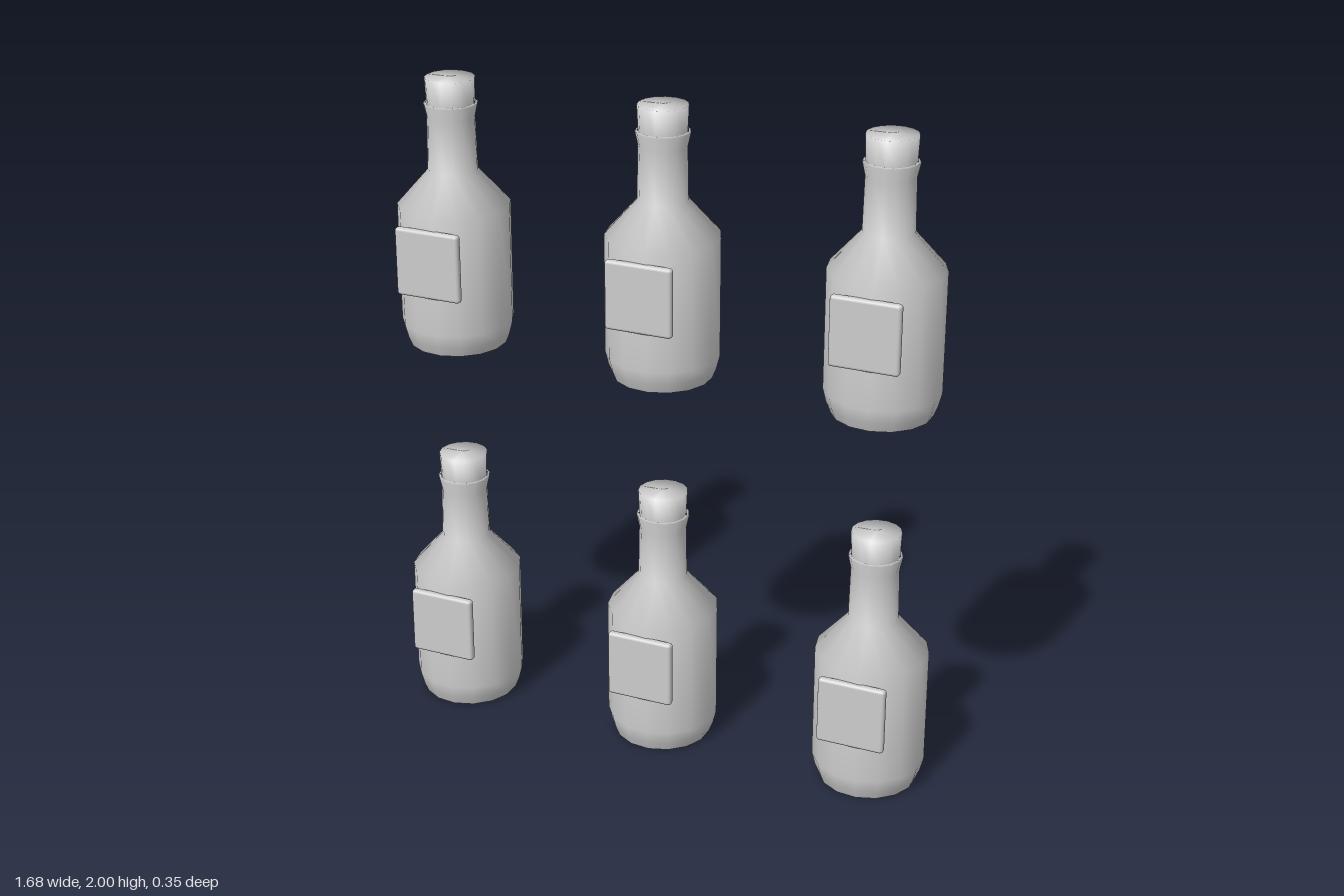
import * as THREE from 'three';
import { RoundedBoxGeometry } from 'three/addons/geometries/RoundedBoxGeometry.js';

const SIDES = 15;
const AXIS_Z = -0.007;

// Turned part with a corner on the -x side
function turned(name, profile, material) {
  const points = profile.map(([r, y]) => new THREE.Vector2(r, y));
  const mesh = new THREE.Mesh(new THREE.LatheGeometry(points, SIDES, -Math.PI / 2), material);
  mesh.name = name;
  mesh.position.z = AXIS_Z;
  return mesh;
}

function createBottle(material) {
  const bottle = new THREE.Group();
  bottle.name = 'bottle';

  // Flat underside
  bottle.add(turned('base', [[0, 0], [0.146, 0]], material));

  // Body, shoulder, neck and flared lip
  bottle.add(turned('glass', [
    [0.146, 0], [0.158, 0.03], [0.168, 0.07], [0.168, 0.43],
    [0.074, 0.535], [0.071, 0.695], [0.08, 0.735], [0.072, 0.737],
  ], material));

  // Stopper
  bottle.add(turned('stopper', [[0.07, 0.725], [0.074, 0.812], [0, 0.812]], material));

  // Label plate on the front
  const label = new THREE.Mesh(new RoundedBoxGeometry(0.206, 0.208, 0.026, 3, 0.01), material);
  label.name = 'label';
  label.position.set(0, 0.292, 0.161);
  bottle.add(label);

  return bottle;
}

export function createModel() {
  const model = new THREE.Group();
  model.name = 'bottles';
  const grey = new THREE.MeshStandardMaterial({ color: 0xcccccc });
  grey.name = 'light grey';

  // Two rows of three
  for (const y of [0, 1.188]) {
    for (const x of [-0.672, 0, 0.672]) {
      const bottle = createBottle(grey);
      bottle.position.set(x, y, 0);
      model.add(bottle);
    }
  }
  return model;
}
